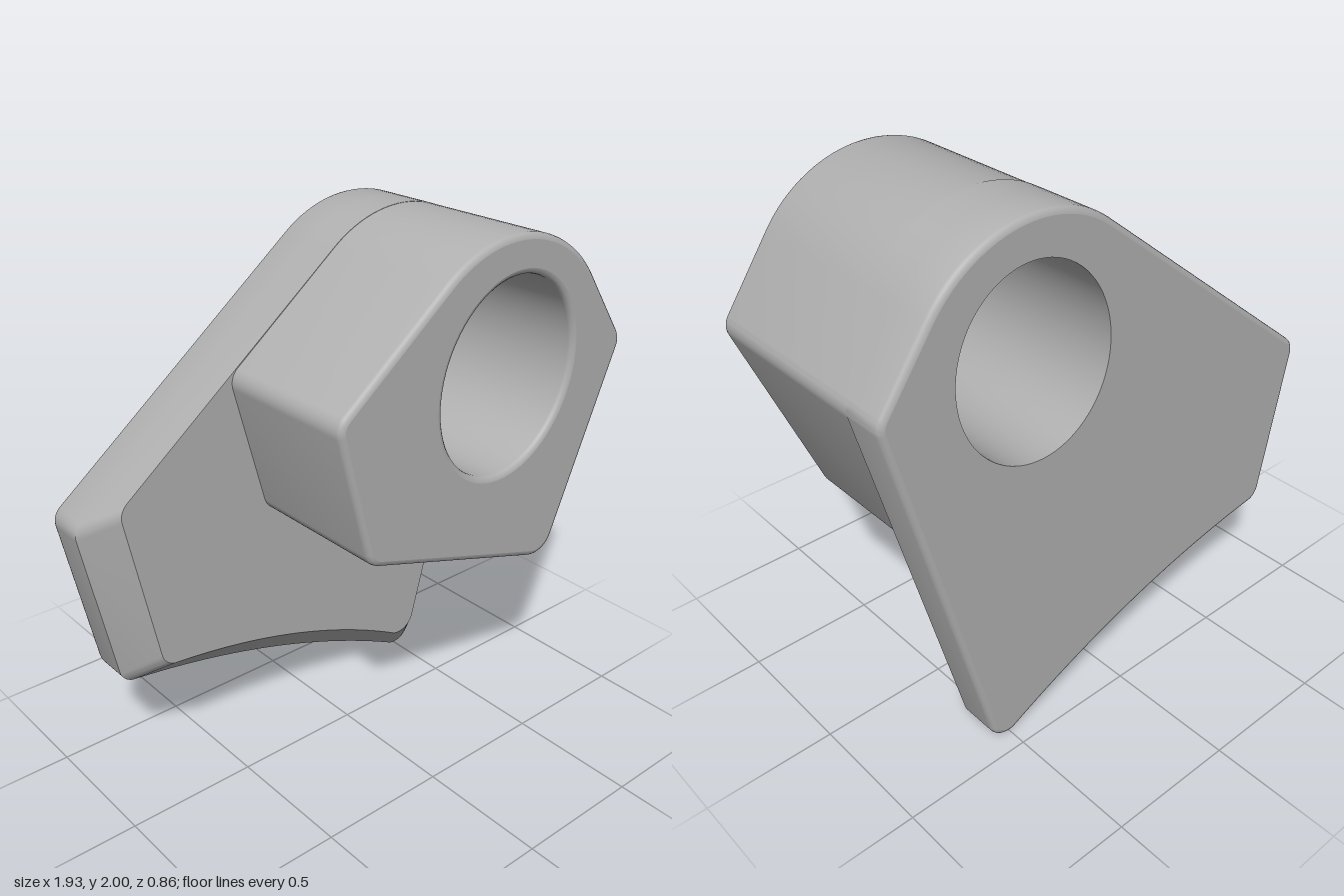
import * as THREE from 'three';
import { mergeGeometries, toCreasedNormals } from 'three/addons/utils/BufferGeometryUtils.js';

const BACK = -0.43, FRONT = 0.43, FILLET = 0.022;

// Corners run counter-clockwise as [x, y, radius]; edge i joins corner i to i + 1.
const PLATE = [[-0.848, 0.418, 0.07], [0.56, -0.018, 0.08], [0.971, 1.517, 0.07], [0.474, 2.219, 0.5], [-0.975, 1.085, 0.07]];
const BLOCK = [[-0.263, 0.985, 0.08], [0.634, 0.703, 0.1], [0.974, 1.514, 0.07], [0.474, 2.219, 0.5], [-0.403, 1.528, 0.07]];

// Rounded polygon with every edge moved inward by its own inset; edge 0 may bow inward.
function outline(corners, insets, bow = 0, shrinkRadius = 0) {
  const n = corners.length;
  const P = corners.map(c => new THREE.Vector2(c[0], c[1]));
  const dir = P.map((p, i) => P[(i + 1) % n].clone().sub(p).normalize());
  const norm = dir.map(d => new THREE.Vector2(-d.y, d.x));
  const pts = [];
  const arcs = P.map((p, i) => {
    const h = (i + n - 1) % n;
    const cross = dir[h].cross(dir[i]);
    const turn = Math.atan2(cross, dir[h].dot(dir[i]));
    // intersection of the two moved edges
    const corner = p.clone()
      .addScaledVector(dir[h], -insets[i] / -cross * 1)
      .addScaledVector(dir[i], insets[h] / cross);
    corner.addScaledVector(dir[h], -2 * insets[i] / cross);
    const r = corners[i][2] - shrinkRadius;
    const start = corner.clone().addScaledVector(dir[h], -r * Math.tan(turn / 2));
    const centre = start.clone().addScaledVector(norm[h], r);
    const steps = r > 0.3 ? 28 : 8;
    return Array.from({ length: steps + 1 }, (_, k) =>
      start.clone().rotateAround(centre, turn * k / steps));
  });
  arcs.forEach((arc, i) => {
    pts.push(...arc);
    if (i === 0 && bow) {
      const a = arc[arc.length - 1], b = arcs[1][0];
      for (let k = 1; k < 24; k++) {
        const t = k / 24;
        pts.push(a.clone().lerp(b, t).addScaledVector(norm[0], 4 * bow * t * (1 - t)));
      }
    }
  });
  return pts;
}

const even = d => [d, d, d, d, d];

// Tilted oval bore
function oval(grow = 0) {
  return Array.from({ length: 72 }, (_, i) => {
    const a = i / 72 * Math.PI * 2;
    return new THREE.Vector2((0.3155 + grow) * Math.cos(a), (0.3615 + grow) * Math.sin(a))
      .rotateAround(new THREE.Vector2(), -0.307).add(new THREE.Vector2(0.37, 1.5));
  });
}

// Side walls through sections [points, z]
function walls(sections, inward = false) {
  const pos = [];
  for (let k = 0; k < sections.length - 1; k++) {
    const [lo, z0] = sections[k], [hi, z1] = sections[k + 1];
    for (let i = 0; i < lo.length; i++) {
      const j = (i + 1) % lo.length;
      const a = [lo[i].x, lo[i].y, z0], b = [lo[j].x, lo[j].y, z0];
      const c = [hi[j].x, hi[j].y, z1], d = [hi[i].x, hi[i].y, z1];
      pos.push(...(inward ? [a, c, b, a, d, c] : [a, b, c, a, c, d]).flat());
    }
  }
  const g = new THREE.BufferGeometry();
  g.setAttribute('position', new THREE.Float32BufferAttribute(pos, 3));
  return toCreasedNormals(g, 0.6);
}

// Flat face with the bore cut out
function cap(points, hole, z, faceBack = false) {
  const shape = new THREE.Shape(points);
  shape.holes.push(new THREE.Path(hole));
  let g = new THREE.ShapeGeometry(shape);
  if (faceBack) g.index.array.reverse();
  g = g.toNonIndexed();
  g.deleteAttribute('uv');
  g.translate(0, 0, z);
  g.computeVertexNormals();
  return g;
}

// Quarter-round steps: [inset, distance from the face]
const ROUND = [0, 30, 60, 90].map(deg => {
  const a = deg * Math.PI / 180;
  return [FILLET * (1 - Math.cos(a)), FILLET * (1 - Math.sin(a))];
});

export function createModel() {
  const group = new THREE.Group();
  group.name = 'bracket';
  const grey = new THREE.MeshStandardMaterial({ color: 0xb0b0b0 });
  grey.name = 'grey';
  const add = (name, parts) => {
    const mesh = new THREE.Mesh(mergeGeometries(parts), grey);
    mesh.name = name;
    group.add(mesh);
  };

  // Mounting plate: rounded back edge, bevelled front on the lower three sides
  const bow = 0.06;
  const plate = [...ROUND].reverse().map(([d, h]) => [outline(PLATE, even(d), bow, d), BACK + h]);
  plate.push([outline(PLATE, even(0), bow), -0.27]);
  plate.push([outline(PLATE, [0.122, 0.135, 0, 0, 0.122], bow), -0.14]);
  add('mountingPlate', [
    walls(plate),
    cap(plate[0][0], oval(), BACK, true),
    cap(plate[plate.length - 1][0], oval(), -0.14),
  ]);

  // Boss rising from the plate, with a rounded front rim
  const boss = [[outline(BLOCK, even(0)), -0.28]];
  ROUND.forEach(([d, h]) => boss.push([outline(BLOCK, even(d), 0, d), FRONT - h]));
  add('boss', [walls(boss), cap(boss[boss.length - 1][0], oval(FILLET), FRONT)]);

  // Bore through both parts
  const bore = [[oval(), BACK]];
  ROUND.forEach(([d, h]) => bore.push([oval(d), FRONT - h]));
  add('bore', [walls(bore, true)]);

  return group;
}
